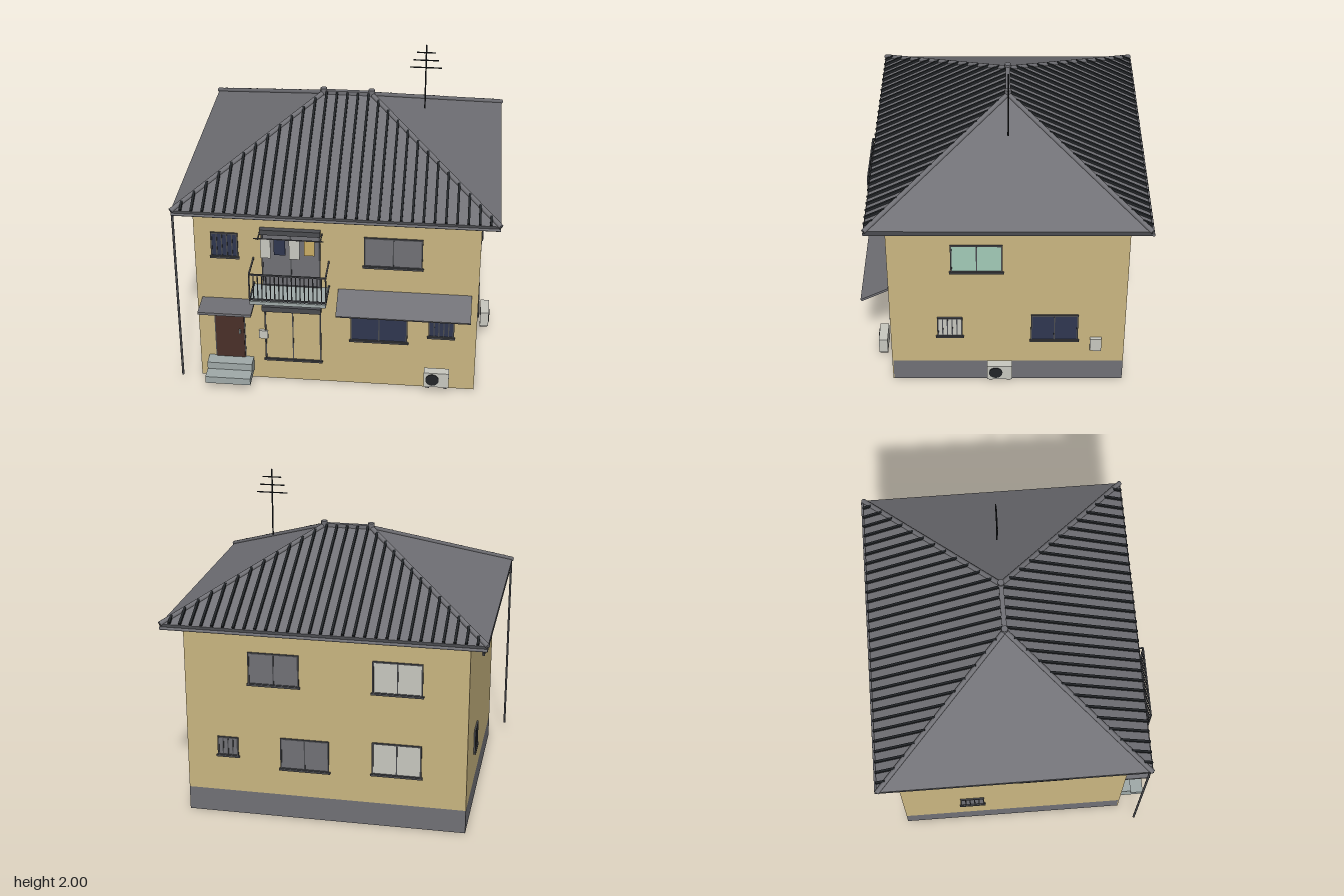
import * as THREE from 'three';

const COLORS = {
  wall: 0xcab681, roofGrey: 0x717176, frameGrey: 0x4b4c50, black: 0x222528, navy: 0x2f3750,
  brown: 0x4a3028, concrete: 0xa0aaa9, offWhite: 0xc8c8c0, paleGreen: 0xa2cab8, yellow: 0xcbae66,
};
const M = {};
for (const [name, color] of Object.entries(COLORS)) {
  M[name] = new THREE.MeshStandardMaterial({ color });
  M[name].name = name;
}

function add(parent, name, geo, mat) {
  const mesh = new THREE.Mesh(geo, mat);
  mesh.name = name;
  parent.add(mesh);
  return mesh;
}

// Box given by its min and max on each axis
function box(parent, name, mat, x0, x1, y0, y1, z0, z1) {
  const m = add(parent, name, new THREE.BoxGeometry(x1 - x0, y1 - y0, z1 - z0), mat);
  m.position.set((x0 + x1) / 2, (y0 + y1) / 2, (z0 + z1) / 2);
  return m;
}

// Straight bar between two points, square or round
function beam(parent, name, mat, a, b, w, h = w, round = false) {
  const A = new THREE.Vector3(...a), B = new THREE.Vector3(...b), len = A.distanceTo(B);
  const geo = round
    ? new THREE.CylinderGeometry(w / 2, w / 2, len, 10).rotateX(Math.PI / 2)
    : new THREE.BoxGeometry(w, h, len);
  const m = add(parent, name, geo, mat);
  m.position.copy(A).lerp(B, 0.5);
  m.lookAt(B);
  return m;
}

function group(parent, name) {
  const g = new THREE.Group();
  g.name = name;
  parent.add(g);
  return g;
}

// House plan and roof sizes
const X = 0.855, ZF = 0.68, ZB = -0.75, WALL_TOP = 1.23;
const RX = 0.96, RZF = 0.79, RZB = -0.86, EAVE = 1.25, RIDGE = 1.66, RIDGE_X = 0.147, RIDGE_Z = -0.035;

// Group on a wall whose local +z points outward; u is the world x or z of its centre
function onWall(parent, name, side, u) {
  const g = group(parent, name);
  if (side === 'front') g.position.set(u, 0, ZF);
  if (side === 'back') { g.position.set(u, 0, ZB); g.rotation.y = Math.PI; }
  if (side === 'right') { g.position.set(X, 0, u); g.rotation.y = Math.PI / 2; }
  if (side === 'left') { g.position.set(-X, 0, u); g.rotation.y = -Math.PI / 2; }
  return g;
}

function addWindow(parent, name, side, u0, u1, y0, y1, glass, bars = 1, sill = true) {
  const g = onWall(parent, name, side, (u0 + u1) / 2), w = Math.abs(u1 - u0) / 2, t = 0.009;
  box(g, 'pane', glass, -w, w, y0, y1, -0.004, 0.004);
  for (const s of [-1, 1]) box(g, 'frameSide', M.frameGrey, s * w - t / 2, s * w + t / 2, y0, y1, 0, 0.01);
  box(g, 'frameTop', M.frameGrey, -w - t / 2, w + t / 2, y1 - t / 2, y1 + t / 2, 0, 0.01);
  box(g, 'frameBottom', M.frameGrey, -w, w, y0 - t / 2, y0 + t / 2, 0, 0.01);
  for (let i = 1; i <= bars; i++) {
    const x = -w + (2 * w * i) / (bars + 1);
    box(g, 'mullion', M.frameGrey, x - 0.0035, x + 0.0035, y0, y1, 0, 0.009);
  }
  if (sill) box(g, 'sill', M.frameGrey, -w - 0.012, w + 0.012, y0 - 0.012, y0, 0, 0.015);
}

function addAirConditioner(parent, side, u, out) {
  const g = onWall(parent, 'airConditioner', side, u);
  box(g, 'casing', M.offWhite, -0.077, 0.077, 0.072, 0.175, out, out + 0.055);
  const fan = add(g, 'fan', new THREE.CylinderGeometry(0.041, 0.041, 0.006, 20).rotateX(Math.PI / 2), M.black);
  fan.position.set(-0.025, 0.125, out + 0.056);
  for (const s of [-1, 1]) box(g, 'foot', M.frameGrey, s * 0.055 - 0.012, s * 0.055 + 0.012, 0.06, 0.072, out, out + 0.05);
}

function addRoof(parent) {
  const g = group(parent, 'roof');
  const FL = [-RX, EAVE, RZF], FR = [RX, EAVE, RZF], BL = [-RX, EAVE, RZB], BR = [RX, EAVE, RZB];
  const L = [-RIDGE_X, RIDGE, RIDGE_Z], R = [RIDGE_X, RIDGE, RIDGE_Z];
  // Four hipped slopes
  const tris = [FL, FR, R, FL, R, L, BR, BL, L, BR, L, R, FR, BR, R, BL, FL, L];
  const geo = new THREE.BufferGeometry();
  geo.setAttribute('position', new THREE.Float32BufferAttribute(tris.flat(), 3));
  geo.computeVertexNormals();
  add(g, 'slopes', geo, M.roofGrey);
  box(g, 'eaves', M.frameGrey, -RX, RX, 1.22, EAVE, RZB, RZF);
  // Raised ribs on the front and back slopes, cut off at the hips
  for (const ze of [RZF, RZB]) {
    for (let i = -14; i <= 14; i++) {
      const x = i * 0.0645, t = Math.min(1, (RX - Math.abs(x)) / (RX - RIDGE_X));
      const top = [x, EAVE + t * (RIDGE - EAVE) + 0.003, ze + t * (RIDGE_Z - ze)];
      beam(g, 'rib', M.black, [x, EAVE + 0.003, ze], top, 0.014, 0.026);
    }
  }
  // Hip and ridge caps
  for (const [a, b] of [[FL, L], [FR, R], [BL, L], [BR, R]]) beam(g, 'hipCap', M.roofGrey, a, b, 0.03, 0.03, true);
  box(g, 'ridgeCap', M.roofGrey, -RIDGE_X, RIDGE_X, 1.65, 1.676, RIDGE_Z - 0.014, RIDGE_Z + 0.014);
  for (const s of [-1, 1]) {
    const cap = add(g, 'ridgeEnd', new THREE.CylinderGeometry(0.02, 0.02, 0.045, 12), M.roofGrey);
    cap.position.set(s * RIDGE_X, 1.667, RIDGE_Z);
  }
  // Gutters and downpipe
  for (const z of [RZF - 0.002, RZB - 0.006]) beam(g, 'gutter', M.roofGrey, [-RX, 1.226, z], [RX, 1.226, z], 0.018, 0.018, true);
  beam(g, 'downpipe', M.frameGrey, [-0.955, 0.06, 0.775], [-0.955, 1.225, 0.775.valueOf()], 0.014, 0.014, true);
}

function addBalcony(parent) {
  const g = group(parent, 'balcony'), x0 = -0.5, x1 = -0.045, z1 = 0.865;
  box(g, 'floor', M.concrete, x0, x1, 0.677, 0.7, ZF, z1 + 0.005);
  for (const y of [0.712, 0.885]) {
    beam(g, 'frontRail', M.frameGrey, [x0, y, z1], [x1, y, z1], 0.009);
    for (const x of [x0, x1]) beam(g, 'sideRail', M.frameGrey, [x, y, ZF], [x, y, z1], 0.009);
  }
  for (let i = 0; i <= 18; i++) {
    const x = x0 + ((x1 - x0) * i) / 18;
    box(g, 'baluster', M.frameGrey, x - 0.003, x + 0.003, 0.7, 0.885, z1 - 0.003, z1 + 0.003);
  }
  for (const x of [x0, x1]) box(g, 'post', M.frameGrey, x - 0.004, x + 0.004, 0.7, 0.885, z1 - 0.004, z1 + 0.004);
  // Drying pole with laundry
  const zp = 0.775;
  beam(g, 'dryingPole', M.frameGrey, [-0.48, 1.08, zp], [-0.065, 1.08, zp], 0.008, 0.008, true);
  for (const x of [-0.455, -0.085]) beam(g, 'poleBracket', M.frameGrey, [x, 1.076, ZF], [x, 1.076, zp], 0.007);
  const laundry = [[-0.44, -0.38, 0.95, 'offWhite'], [-0.36, -0.292, 0.975, 'navy'],
    [-0.27, -0.207, 0.95, 'offWhite'], [-0.18, -0.118, 0.98, 'yellow']];
  for (const [a, b, y, c] of laundry) box(g, 'laundry', M[c], a, b, y, 1.078, zp - 0.003, zp + 0.003);
}

export function createModel() {
  const house = new THREE.Group();
  house.name = 'house';

  // Walls and foundation; the front wall reaches the ground
  box(house, 'walls', M.wall, -X, X, 0.15, WALL_TOP, ZB, ZF);
  box(house, 'foundation', M.roofGrey, -X, X, 0, 0.15, ZB, ZF - 0.006);
  box(house, 'frontWallBase', M.wall, -X, X, 0, 0.15, ZF - 0.006, ZF);
  addRoof(house);

  // Windows
  const W = (...a) => addWindow(house, 'window', ...a);
  W('front', -0.75, -0.595, 0.89, 1.05, M.navy, 4);
  W('front', 0.17, 0.51, 0.87, 1.065, M.roofGrey);
  W('front', 0.09, 0.43, 0.33, 0.525, M.navy);
  W('front', 0.567, 0.715, 0.385, 0.515, M.navy, 4);
  W('right', 0, 0.3, 0.87, 1.065, M.paleGreen);
  W('right', 0.245, 0.39, 0.362, 0.503, M.offWhite, 4);
  W('right', -0.46, -0.18, 0.33, 0.525, M.navy);
  W('left', 0, 0.3, 0.87, 1.065, M.roofGrey);
  W('left', -0.375, -0.23, 0.362, 0.503, M.roofGrey, 4);
  W('back', 0.16, 0.46, 0.87, 1.065, M.roofGrey);
  W('back', -0.58, -0.29, 0.87, 1.065, M.offWhite);
  W('back', 0.54, 0.66, 0.39, 0.505, M.roofGrey, 3);
  W('back', -0.02, 0.27, 0.33, 0.525, M.roofGrey);
  W('back', -0.58, -0.29, 0.345, 0.545, M.offWhite);

  // Sliding doors with shutter boxes
  addWindow(house, 'balconyDoor', 'front', -0.445, -0.1, 0.7, 1.07, M.roofGrey, 1, false);
  addWindow(house, 'gardenDoor', 'front', -0.44, -0.1, 0.155, 0.515, M.wall);
  box(house, 'upperShutterBox', M.frameGrey, -0.455, -0.093, 1.07, 1.103, ZF, 0.715);
  box(house, 'lowerShutterBox', M.frameGrey, -0.455, -0.093, 0.522, 0.558, ZF, 0.715);
  addBalcony(house);

  // Entrance
  const entry = group(house, 'entrance');
  box(entry, 'doorFrame', M.frameGrey, -0.757, -0.567, 0.15, 0.55, ZF, 0.684);
  box(entry, 'door', M.brown, -0.75, -0.574, 0.15, 0.543, ZF, 0.69);
  box(entry, 'doorHandle', M.concrete, -0.605, -0.595, 0.335, 0.365, 0.69, 0.7);
  box(entry, 'porchRoof', M.roofGrey, -0.825, -0.5, 0.568, 0.585, ZF, 0.85);
  box(entry, 'upperStep', M.concrete, -0.8, -0.52, 0.06, 0.155, ZF, 0.765);
  box(entry, 'lowerStep', M.concrete, -0.8, -0.52, 0.06, 0.107, 0.765, 0.85);
  box(entry, 'porchLamp', M.offWhite, -0.775, -0.755, 0.48, 0.52, ZF, 0.7);
  box(entry, 'mailbox', M.offWhite, -0.48, -0.425, 0.31, 0.367, ZF, 0.697);

  // Sloped awning over the ground floor windows
  const awning = add(house, 'awning', new THREE.BoxGeometry(0.805, 0.014, 0.188), M.roofGrey);
  awning.position.set(0.413, 0.65, 0.767);
  awning.rotation.x = 0.475;

  // Outdoor units and meter box
  addAirConditioner(house, 'front', 0.622, 0.04);
  addAirConditioner(house, 'right', 0.014, 0.027);
  box(house, 'meterBox', M.offWhite, X, 0.877, 0.253, 0.345, -0.61, -0.54);

  // Antenna
  const antenna = group(house, 'antenna');
  beam(antenna, 'mast', M.black, [0.475, 1.58, RIDGE_Z], [0.475, 2, RIDGE_Z], 0.009, 0.009, true);
  for (const [y, w] of [[1.95, 0.058], [1.9, 0.077], [1.852, 0.096]])
    beam(antenna, 'crossbar', M.black, [0.475 - w, y, RIDGE_Z], [0.475 + w, y, RIDGE_Z], 0.006);

  return house;
}
